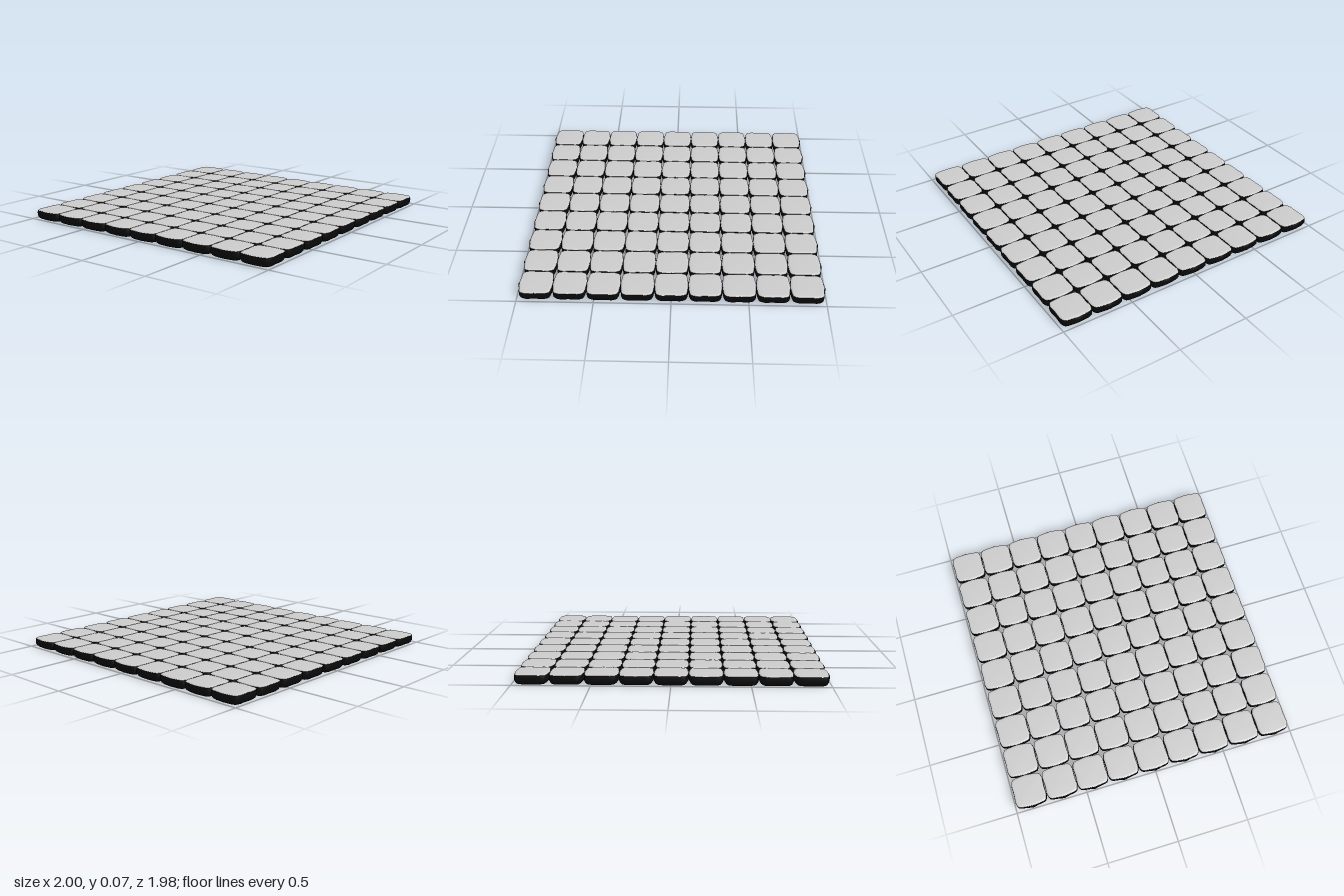
import * as THREE from 'three';

const COUNT = 9;
const PITCH = 0.22;

// Quarter outlines [x, z], from the middle of the +x side to the middle of the +z side
const BODY = [[0.118, 0], [0.109, 0.04], [0.104, 0.075], [0.098, 0.094], [0.085, 0.103], [0.06, 0.11], [0, 0.107]];
const CAP = [[0.109, 0], [0.106, 0.04], [0.102, 0.075], [0.096, 0.093], [0.084, 0.101], [0.06, 0.108], [0, 0.105]];

// Mirrors a quarter outline into a closed loop
function fullOutline(q) {
  const back = q.slice(0, -1).reverse();
  return [
    ...q,
    ...back.map(([x, z]) => [-x, z]),
    ...q.slice(1).map(([x, z]) => [-x, -z]),
    ...back.slice(0, -1).map(([x, z]) => [x, -z]),
  ];
}

// Joins rings (an outline, scale and height each) into a surface
function loft(rings) {
  const positions = [];
  const index = [];
  const n = rings[0].outline.length;
  rings.forEach(({ outline, scale, y }, r) => {
    outline.forEach(([x, z], j) => {
      positions.push(x * scale, y, z * scale);
      if (r === rings.length - 1) return;
      const a = r * n + j;
      const b = r * n + (j + 1) % n;
      if (scale > 0) index.push(a, a + n, b);
      if (rings[r + 1].scale > 0) index.push(b, a + n, b + n);
    });
  });
  const geometry = new THREE.BufferGeometry();
  geometry.setAttribute('position', new THREE.Float32BufferAttribute(positions, 3));
  geometry.setIndex(index);
  geometry.computeVertexNormals();
  return geometry;
}

function seeded(seed) {
  return () => {
    seed = (seed * 16807) % 2147483647;
    return seed / 2147483647;
  };
}

export function createModel() {
  const group = new THREE.Group();
  group.name = 'pavingSlab';
  const random = seeded(17);
  const body = fullOutline(BODY);
  const cap = fullOutline(CAP);

  // Dark underside and bulging sides of a stone
  const bodyGeometry = loft([
    { outline: cap, scale: 0, y: 0 },
    { outline: cap, scale: 0.86, y: 0 },
    { outline: cap, scale: 0.95, y: 0.008 },
    { outline: body, scale: 1, y: 0.024 },
    { outline: body, scale: 1, y: 0.045 },
    { outline: cap, scale: 1, y: 0.06 },
  ]);

  // Softly rounded top face of a stone
  const capGeometry = loft([
    { outline: cap, scale: 1, y: 0.06 },
    { outline: cap, scale: 0.97, y: 0.064 },
    { outline: cap, scale: 0.85, y: 0.067 },
    { outline: cap, scale: 0, y: 0.067 },
  ]);

  const dark = new THREE.MeshStandardMaterial({ color: 0x0a0a0a });
  const grey = new THREE.MeshStandardMaterial({ color: 0xcccccc });

  // Square grid of stones, each turned very slightly
  for (let row = 0; row < COUNT; row++) {
    for (let col = 0; col < COUNT; col++) {
      const stone = new THREE.Group();
      stone.name = `stone_${row}_${col}`;
      const sides = new THREE.Mesh(bodyGeometry, dark);
      sides.name = 'stoneBody';
      const top = new THREE.Mesh(capGeometry, grey);
      top.name = 'stoneTop';
      stone.add(sides, top);
      stone.position.set((col - 4) * PITCH, 0, (row - 4) * PITCH);
      stone.rotation.y = (random() - 0.5) * 0.03;
      group.add(stone);
    }
  }
  return group;
}
